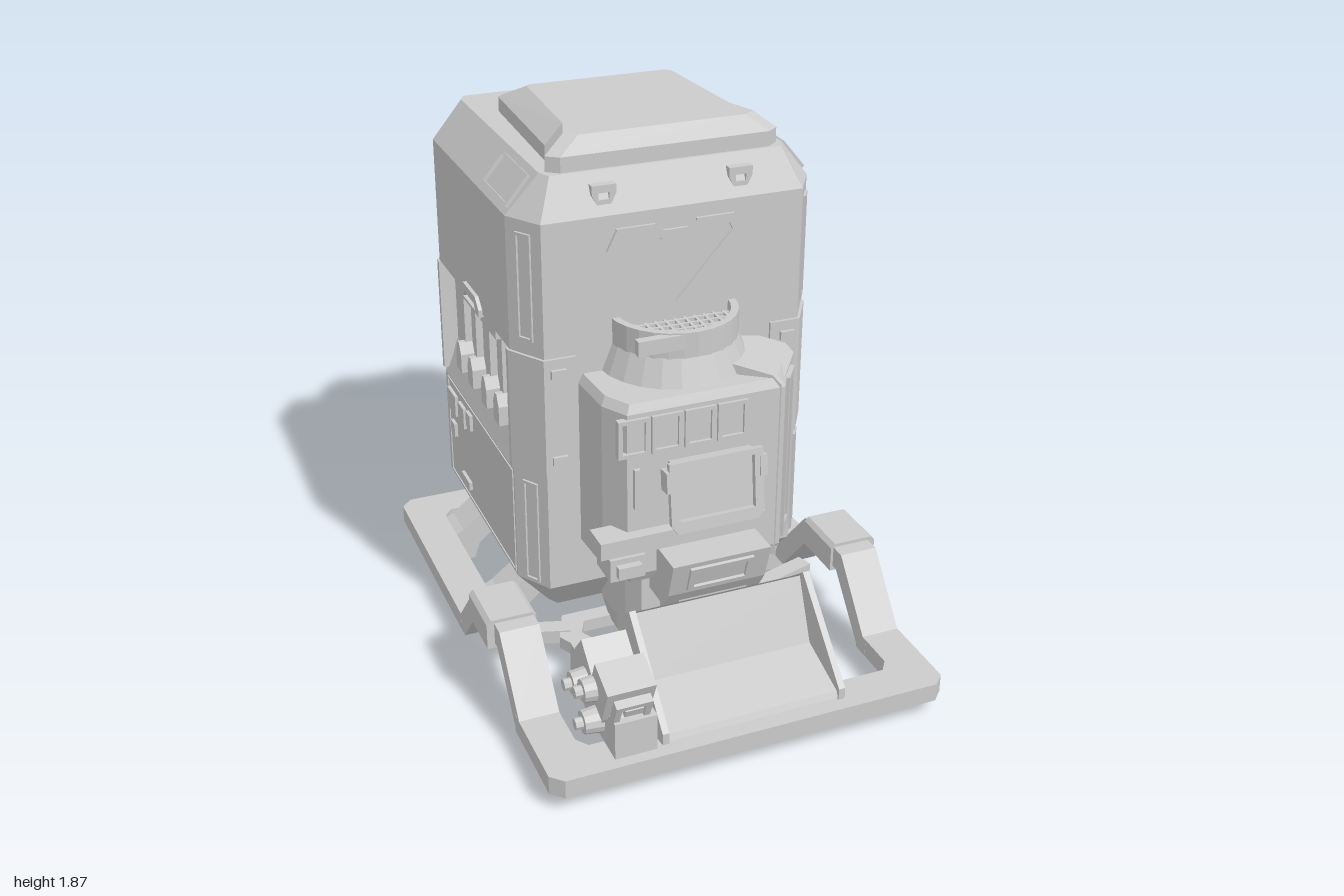
import * as THREE from 'three';

const mat = new THREE.MeshStandardMaterial({ color: 0xcccccc, flatShading: true, side: THREE.DoubleSide });

export function createModel() {
  const root = new THREE.Group();
  const add = (name, geo, x = 0, y = 0, z = 0, rx = 0, ry = 0, rz = 0, parent = root) => {
    const m = new THREE.Mesh(geo, mat);
    m.name = name;
    m.position.set(x, y, z);
    m.rotation.set(rx, ry, rz);
    parent.add(m);
    return m;
  };
  const box = (name, w, h, d, x, y, z, rx = 0, ry = 0, rz = 0, parent = root) =>
    add(name, new THREE.BoxGeometry(w, h, d), x, y, z, rx, ry, rz, parent);
  const shape = (pts, hole) => {
    const s = new THREE.Shape(pts.map(p => new THREE.Vector2(...p)));
    if (hole) s.holes.push(new THREE.Path(hole.map(p => new THREE.Vector2(...p))));
    return s;
  };
  const extrude = (s, depth) => new THREE.ExtrudeGeometry(s, { depth, bevelEnabled: false, curveSegments: 6 });
  // [z, y] outline given a width along x
  const side = (pts, width, hole) => extrude(shape(pts, hole), width).rotateY(-Math.PI / 2).translate(width / 2, 0, 0);
  // [x, z] outline given a height, hanging from yTop
  const plan = (pts, height, yTop, hole) => extrude(shape(pts, hole), height).rotateX(Math.PI / 2).translate(0, yTop, 0);
  const rect = (a, b, c, d) => [[a, b], [c, b], [c, d], [a, d]];
  // stacked outlines; each level is [y, half outline from front to back], mirrored in x
  const loft = levels => {
    const rings = levels.map(([y, half]) =>
      [...half, ...half.slice().reverse().map(([x, z]) => [-x, z])].map(([x, z]) => [x, y, z]));
    const n = rings[0].length, v = [];
    for (let i = 0; i + 1 < rings.length; i++) for (let j = 0; j < n; j++) {
      const k = (j + 1) % n, a = rings[i][j], b = rings[i][k], c = rings[i + 1][k], d = rings[i + 1][j];
      v.push(...a, ...b, ...c, ...a, ...c, ...d);
    }
    [rings[0], rings.at(-1)].forEach((r, top) => {
      const c = [0, r[0][1], (r[0][2] + r[n / 2 - 1][2]) / 2];
      for (let j = 0; j < n; j++) {
        const p = r[j], q = r[(j + 1) % n];
        v.push(...(top ? [...c, ...p, ...q] : [...c, ...q, ...p]));
      }
    });
    const g = new THREE.BufferGeometry();
    g.setAttribute('position', new THREE.Float32BufferAttribute(v, 3));
    g.computeVertexNormals();
    return g;
  };

  // Main cabinet: chamfered corners, side walls set in at the waist
  const cab = (y, w, f, b, s = w, cx = 0.075, cz = 0.12) => [y, [[w - cx, f], [w, f - cz], [s, f - cz - 0.005],
    [s, b + cz + 0.005], [w, b + cz], [w - cx, b]]];
  add('cabinet', loft([
    cab(0.19, 0.4, 0.18, -0.67, 0.4, 0.02, 0.03), cab(0.33, 0.517, 0.29, -0.76), cab(0.74, 0.517, 0.29, -0.76),
    cab(0.87, 0.517, 0.29, -0.76, 0.465), cab(1.165, 0.517, 0.29, -0.76, 0.465), cab(1.18, 0.517, 0.29, -0.76),
    cab(1.63, 0.517, 0.29, -0.76), cab(1.76, 0.41, 0.23, -0.68, 0.41, 0.02, 0.04)]));

  // Lid, widening toward the front
  const lid = (y, k, f, b) => [y, [[0.35 - k, f], [0.39 - k, f - 0.03], [0.355 - k, f - 0.13], [0.33 - k, b + 0.02], [0.31 - k, b]]];
  add('lid', loft([lid(1.75, 0, 0.22, -0.48), lid(1.81, 0, 0.22, -0.48), lid(1.865, 0.07, 0.19, -0.38)]));

  for (const s of [1, -1]) {
    // Corner plates, slots and bolts, front and back
    for (const [f, dir] of [[0.29, 1], [-0.76, -1]]) {
      add('cornerPlate', plan([[s * 0.34, f - dir * 0.02], [s * 0.34, f + dir * 0.01], [s * 0.447, f + dir * 0.01],
        [s * 0.525, f - dir * 0.115], [s * 0.525, f - dir * 0.135], [s * 0.49, f - dir * 0.135]], 0.42, 1.18));
      for (const y of [1.13, 0.82]) box('bolt', 0.05, 0.03, 0.02, s * 0.4, y, f + dir * 0.012);
      for (const [y, h] of [[1.41, 0.36], [0.53, 0.38]]) {
        add('cornerSlot', extrude(shape(rect(-0.03, -h / 2, 0.03, h / 2), rect(-0.022, 0.01 - h / 2, 0.022, h / 2 - 0.01)), 0.008),
          s * 0.4795, y, f - dir * 0.06, 0, s * (dir > 0 ? 1.01 : Math.PI - 1.01));
      }
      // Lifting hooks on the top bevel
      const hook = shape([[-0.04, 0.035], [0.04, 0.035], [0.04, 0.005], [0.022, -0.03], [-0.022, -0.03], [-0.04, 0.005]],
        rect(-0.018, -0.012, 0.018, 0.01));
      add('hook', extrude(hook, 0.03), s * 0.23, 1.69, f - dir * 0.03 - 0.015);
    }
    // Vent panel on the side bevel
    add('sideVent', extrude(shape(rect(-0.125, -0.06, 0.125, 0.06), rect(-0.115, -0.05, 0.115, 0.05)), 0.012),
      s * 0.465, 1.695, 0.035).rotation.set(0, s * Math.PI / 2, s * 0.69, 'ZYX');

    // Side straps and handle
    for (const z of [-0.085, -0.385]) {
      for (const d of [-0.07, 0.07]) box('strapRail', 0.03, 0.25, 0.02, s * 0.475, 1.05, z + d);
      box('strapTop', 0.05, 0.035, 0.17, s * 0.485, 1.155, z);
      for (const d of [-0.07, 0.07]) {
        const clip = side([[-0.03, -0.05], [0.03, -0.05], [0.03, 0.02], [0.01, 0.06], [-0.01, 0.06], [-0.03, 0.02]], 0.06);
        add('strapClip', clip, s * 0.485, 0.875, z + d);
      }
    }
    add('sideHandle', side([[-0.34, 1.17], [-0.12, 1.17], [-0.12, 1.195], [-0.16, 1.23], [-0.3, 1.23], [-0.34, 1.195]], 0.03,
      [[-0.3, 1.18], [-0.16, 1.18], [-0.18, 1.205], [-0.28, 1.205]]), s * 0.515);
    add('sidePanelFrame', side(rect(-0.61, 0.34, 0.16, 0.735), 0.012, rect(-0.602, 0.348, 0.152, 0.727)), s * 0.515);
  }

  // Left wall hatches
  add('angledHatch', side([[-0.305, 0.508], [-0.305, 0.56], [-0.42, 0.727], [-0.475, 0.727], [-0.475, 0.62], [-0.4, 0.508]], 0.024,
    [[-0.32, 0.523], [-0.32, 0.556], [-0.428, 0.712], [-0.46, 0.712], [-0.46, 0.615], [-0.392, 0.523]]), 0.515);
  add('lowerHatch', side([[-0.305, 0.365], [-0.305, 0.42], [-0.37, 0.42], [-0.41, 0.48], [-0.41, 0.365]], 0.024), 0.515);
  for (const [z, y, w, h] of [[-0.54, 0.67, 0.08, 0.1], [-0.54, 0.56, 0.08, 0.09], [-0.46, 0.425, 0.07, 0.11], [-0.54, 0.425, 0.08, 0.11], [-0.51, 0.505, 0.14, 0.02]])
    box('squareHatch', 0.025, h, w, 0.514, y, z);
  // Right wall small covers
  for (const [z, y, w, h] of [[-0.54, 0.66, 0.1, 0.08], [-0.42, 0.66, 0.07, 0.08], [-0.33, 0.68, 0.05, 0.06], [-0.54, 0.55, 0.05, 0.05], [-0.4, 0.4, 0.1, 0.03]])
    box('rightCover', 0.03, h, w, -0.514, y, z);

  // Raised V brace on the front wall
  for (const s of [1, -1]) {
    const bar = (name, a, b, t) => box(name, Math.hypot(b[0] - a[0], b[1] - a[1]), t, 0.03,
      s * (a[0] + b[0]) / 2, (a[1] + b[1]) / 2, 0.285, 0, 0, s * Math.atan2(b[1] - a[1], b[0] - a[0]));
    bar('braceArm', [0.02, 1.3], [0.215, 1.52], 0.045);
    bar('braceShoulder', [0.22, 1.51], [0.19, 1.57], 0.025);
    bar('braceTop', [0.2, 1.57], [0.07, 1.57], 0.03);
    bar('braceTop', [0.075, 1.57], [0.045, 1.545], 0.03);
    bar('braceTop', [0.05, 1.545], [0, 1.545], 0.03);
  }

  // Skid frame with two raised side arches
  const skid = (z0, zi, z1, d) => [[-0.685, z0], [-0.685, z1 - d], [-0.645, z1], [0.645, z1], [0.685, z1 - d], [0.685, z0],
    [0.55, z0], [0.55, zi - d], [0.52, zi], [-0.52, zi], [-0.55, zi - d], [-0.55, z0]];
  add('frontSkid', plan(skid(0.63, 0.86, 0.995, 0.04), 0.065, 0.122));
  add('rearSkid', plan(skid(0.02, -0.68, -0.81, -0.04), 0.065, 0.122));
  for (const s of [1, -1]) {
    add('skidArch', side([[0.69, 0.057], [0.64, 0.057], [0.46, 0.27], [0.25, 0.27], [0.06, 0.057], [-0.02, 0.057],
      [-0.02, 0.122], [0.02, 0.122], [0.22, 0.345], [0.49, 0.345], [0.67, 0.122], [0.69, 0.122]], 0.135), s * 0.617);
    add('archClamp', extrude(shape([[-0.085, -0.05], [-0.085, 0.04], [-0.07, 0.055], [0.07, 0.055], [0.085, 0.04], [0.085, -0.05]]), 0.2),
      s * 0.625, 0.302, 0.235);
    for (const z of [0.28, 0.39]) box('clampBolt', 0.02, 0.03, 0.03, s * 0.7, 0.3, z);
    // Legs with feet
    for (const z of [-0.07, -0.57]) {
      add('leg', extrude(shape([[0.3, 0.2], [0.43, 0.2], [0.52, 0.13], [0.62, 0.08], [0.62, 0.04], [0.59, 0], [0.48, 0], [0.46, 0.06], [0.38, 0.13], [0.3, 0.14]]
        .map(([x, y]) => [s * x, y])), 0.14), 0, 0, z - 0.07);
    }
    // Struts from the frame to the drum
    box('drumStrut', 0.24, 0.05, 0.06, s * 0.47, 0.1, 0.2, 0, s * 0.3);
  }
  for (const z of [-0.07, -0.57]) box('crossBeam', 0.64, 0.06, 0.14, 0, 0.17, z);
  add('drumBaseRing', plan([[-0.36, 0.16], [0.36, 0.16], [0.41, 0.28], [0.26, 0.59], [-0.26, 0.59], [-0.41, 0.28]], 0.045, 0.12,
    [[-0.3, 0.22], [0.3, 0.22], [0.33, 0.28], [0.21, 0.53], [-0.21, 0.53], [-0.33, 0.28]]));

  // Front drum housing
  const drum = (y, k) => [y, [[0.27 * k, 0.28 + 0.28 * k], [0.32 * k, 0.28 + 0.19 * k], [0.33 * k, 0.28], [0.33 * k, 0.2]]];
  add('drumHousing', loft([drum(0.46, 0.92), drum(0.5, 1), drum(1.08, 1), drum(1.11, 0.95)]));
  add('drumBase', loft([drum(0.1, 0.6), drum(0.2, 0.68), drum(0.47, 0.7)]));
  add('drumShoulder', new THREE.CylinderGeometry(0.215, 0.255, 0.1, 24), 0, 1.15, 0.27);
  add('drumNeck', new THREE.LatheGeometry([[0.19, 1.22], [0.19, 1.285], [0.215, 1.285], [0.215, 1.19], [0.19, 1.19], [0.19, 1.22]]
    .map(p => new THREE.Vector2(...p)), 28), 0, 0, 0.27);
  for (let i = -5; i <= 5; i++) {
    const l = 2 * Math.sqrt(0.19 ** 2 - (i * 0.034) ** 2);
    box('mesh', l, 0.012, 0.01, 0, 1.245, 0.27 + i * 0.034);
    box('mesh', 0.01, 0.012, l, i * 0.034, 1.245, 0.27);
  }
  box('neckLatch', 0.22, 0.05, 0.03, -0.09, 1.255, 0.465);

  // Slotted cover on the drum's left corner, with a sloped top
  const cover = new THREE.Group();
  cover.name = 'slottedCover';
  cover.position.set(0.27, 0.8, 0.42);
  cover.rotation.y = 0.95;
  root.add(cover);
  add('coverSlab', side([[-0.16, -0.34], [0.07, -0.34], [0.07, 0.29], [0.04, 0.32], [-0.16, 0.36]], 0.25), 0, 0, 0, 0, 0, 0, cover);
  add('coverFrame', extrude(shape(rect(-0.05, -0.31, 0.05, 0.28), rect(-0.028, -0.27, 0.028, 0.26)), 0.015), 0, 0, 0.07, 0, 0, 0, cover);
  box('coverBar', 0.02, 0.5, 0.015, 0, 0, 0.072, 0, 0, 0, cover);

  // Drum front: window grid, screen, shelf and drawer
  for (let c = 0; c < 4; c++)
    add('windowFrame', extrude(shape(rect(-0.052, -0.065, 0.052, 0.065), rect(-0.038, -0.052, 0.038, 0.052)), 0.025), -0.25 + c * 0.112, 1, 0.545);
  box('sideGauge', 0.02, 0.14, 0.03, -0.24, 0.82, 0.56);
  const screen = new THREE.Group();
  screen.name = 'screen';
  screen.position.set(0, 0.81, 0.61);
  screen.rotation.x = -0.12;
  root.add(screen);
  box('screenBody', 0.28, 0.2, 0.04, 0, 0, 0, 0, 0, 0, screen);
  add('screenBezel', extrude(shape([[-0.14, -0.13], [0.14, -0.13], [0.16, -0.1], [0.16, 0.11], [-0.16, 0.11], [-0.16, -0.1]],
    rect(-0.13, -0.09, 0.13, 0.09)), 0.02), 0, 0, 0.02, 0, 0, 0, screen);
  for (const s of [1, -1]) box('screenGrip', 0.025, 0.07, 0.05, s * 0.16, 0.05, 0.02, 0, 0, 0, screen);
  box('screenMount', 0.1, 0.1, 0.08, 0, 0.81, 0.57);
  box('shelf', 0.57, 0.06, 0.1, -0.09, 0.635, 0.55);
  add('drawer', side([[0.5, 0.4], [0.62, 0.4], [0.66, 0.46], [0.7, 0.59], [0.5, 0.59]], 0.34), 0, 0, 0);
  add('drawerFrame', extrude(shape(rect(-0.11, -0.05, 0.11, 0.05), rect(-0.09, -0.035, 0.09, 0.035)), 0.015), 0, 0.525, 0.675, 0.3);
  box('sideSocket', 0.12, 0.08, 0.12, -0.28, 0.55, 0.53);
  box('socketLip', 0.08, 0.04, 0.03, -0.28, 0.55, 0.6);

  // Open scoop: bent tray between two cheeks
  add('scoopTray', side([[0.7, 0.46], [0.58, 0.36], [0.8, 0.135], [0.975, 0.155], [0.965, 0.175], [0.77, 0.235], [0.68, 0.44]], 0.6), -0.005);
  for (const x of [-0.31, 0.3]) add('scoopCheek', side([[0.7, 0.465], [0.58, 0.37], [0.8, 0.13], [0.98, 0.15], [0.98, 0.19]], 0.022), x);
  box('scoopAxle', 0.8, 0.12, 0.1, -0.08, 0.26, 0.64);
  box('scoopArm', 0.24, 0.2, 0.16, 0, 0.33, 0.55);

  // Drive unit beside the scoop
  box('driveHousing', 0.15, 0.17, 0.26, -0.405, 0.25, 0.74, 0.7);
  box('driveHead', 0.16, 0.14, 0.12, -0.41, 0.32, 0.87, 0.4);
  box('driveBase', 0.14, 0.13, 0.2, -0.4, 0.19, 0.86);
  add('headFrame', extrude(shape(rect(-0.06, -0.05, 0.06, 0.05), rect(-0.04, -0.03, 0.04, 0.03)), 0.03), -0.41, 0.29, 0.93, 0.4);
  box('headKnob', 0.06, 0.03, 0.04, -0.41, 0.3, 0.95, 0.4);
  for (const [y, z] of [[0.27, 0.73], [0.19, 0.83], [0.31, 0.83]]) {
    add('driveHub', new THREE.CylinderGeometry(0.038, 0.045, 0.06, 12), -0.5, y, z, 0, 0, Math.PI / 2);
    add('hubCap', new THREE.CylinderGeometry(0.02, 0.02, 0.04, 8), -0.535, y, z, 0, 0, Math.PI / 2);
  }

  // Rear racks: rounded square trays with clips and a wire loop
  const rounded = (Type, a, r) => {
    const p = new Type();
    [[1, 1, 0], [-1, 1, 1], [-1, -1, 2], [1, -1, 3]].forEach(([x, y, q]) =>
      p.absarc(x * (a - r), y * (a - r), r, q * Math.PI / 2, (q + 1) * Math.PI / 2, false));
    p.closePath();
    return p;
  };
  const tray = (a, w, d) => {
    const s = rounded(THREE.Shape, a, 0.11);
    s.holes.push(rounded(THREE.Path, a - w, 0.11 - w * 0.8));
    return extrude(s, d);
  };
  for (const y of [1.36, 0.49]) {
    const rack = new THREE.Group();
    rack.name = 'rearRack';
    rack.position.y = y;
    root.add(rack);
    add('rackBase', tray(0.3, 0.045, 0.07), 0, 0, -0.83, 0, 0, 0, rack);
    add('rackRim', tray(0.285, 0.02, 0.07), 0, 0, -0.895, 0, 0, 0, rack);
    box('rackPanel', 0.5, 0.5, 0.02, 0, 0, -0.775, 0, 0, 0, rack);
    for (const s of [1, -1]) {
      box('sideClip', 0.02, 0.19, 0.2, s * 0.295, 0, -0.87, 0, 0, 0, rack);
      box('topClip', 0.07, 0.025, 0.13, s * 0.15, 0.29, -0.835, 0, 0, 0, rack);
      box('bottomClip', 0.07, 0.025, 0.13, s * 0.15, -0.29, -0.835, 0, 0, 0, rack);
      add('loopSide', side([[-0.8, -0.14], [-0.98, -0.14], [-1, -0.16], [-1, -0.345], [-0.965, -0.345], [-0.965, -0.18], [-0.8, -0.165]], 0.015),
        s * 0.3, 0, 0, 0, 0, 0, rack);
    }
    box('loopBar', 0.6, 0.02, 0.02, 0, -0.335, -0.985, 0, 0, 0, rack);
    box('loopBridge', 0.23, 0.025, 0.19, 0, -0.3, -0.885, 0, 0, 0, rack);
  }
  box('rackSpacer', 0.44, 0.1, 0.05, 0, 0.93, -0.77);
  return root;
}
